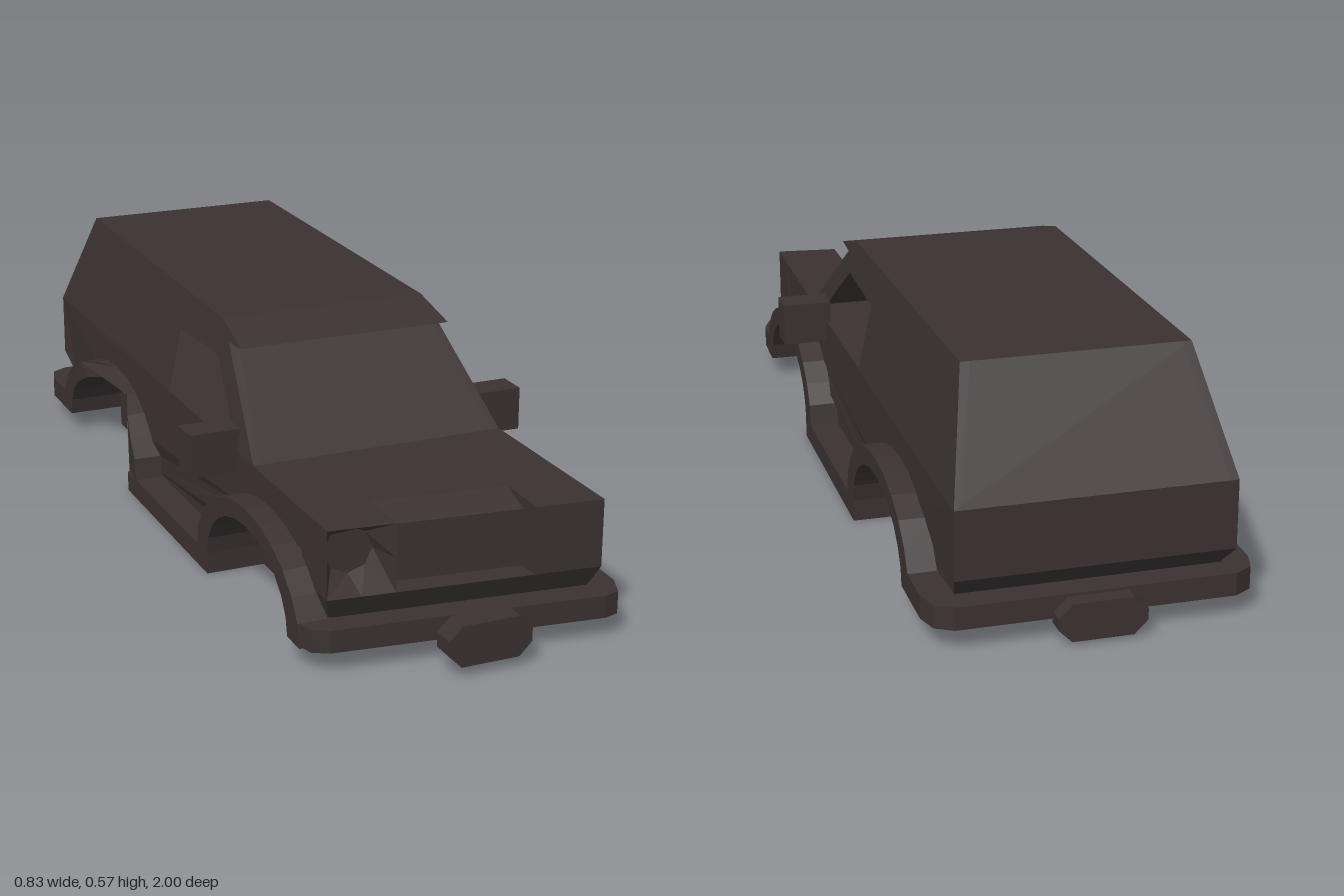
import * as THREE from 'three';

const paint = new THREE.MeshStandardMaterial({ color: 0x3a3132 });
paint.name = 'dark paint';

// Move every vertex by a rule, then refresh the flat normals.
function warp(geo, rule) {
  const p = geo.attributes.position;
  const v = new THREE.Vector3();
  for (let i = 0; i < p.count; i++) {
    v.fromBufferAttribute(p, i);
    rule(v);
    p.setXYZ(i, v.x, v.y, v.z);
  }
  geo.computeVertexNormals();
  return geo;
}

// Extrude a [z, y] outline from x0 to x1.
function extrudeX(outline, x0, x1, hole) {
  const toV = ([z, y]) => new THREE.Vector2(-z, y);
  const shape = new THREE.Shape(outline.map(toV));
  if (hole) shape.holes.push(new THREE.Path(hole.map(toV)));
  const geo = new THREE.ExtrudeGeometry(shape, { depth: x1 - x0, bevelEnabled: false });
  return geo.translate(0, 0, x0).rotateY(Math.PI / 2);
}

// Half ellipse over a wheel, listed from front to back.
function arch(cz, rx, ry, steps = 12) {
  return Array.from({ length: steps + 1 }, (_, i) => {
    const a = (Math.PI * i) / steps;
    return [cz + rx * Math.cos(a), 0.05 + ry * Math.sin(a)];
  });
}

// The nose is slightly skewed across its width.
const skewNose = (v) => { if (v.z > 0.7) v.z += (v.x - 0.305) * 0.115; };
// The cabin leans inward towards the roof.
const halfWidth = (y) => 0.305 - (y - 0.31) * 0.214;

const FRONT = 0.535, REAR = -0.495;

export function createModel() {
  const model = new THREE.Group();
  model.name = 'offRoadCar';
  const add = (name, geo) => {
    const m = new THREE.Mesh(geo, paint);
    m.name = name;
    model.add(m);
    return m;
  };
  const box = (name, x0, x1, y0, y1, z0, z1) => add(name,
    new THREE.BoxGeometry(x1 - x0, y1 - y0, z1 - z0)
      .translate((x0 + x1) / 2, (y0 + y1) / 2, (z0 + z1) / 2));

  // Lower body: solid core and side slabs with wheel wells
  const upper = [[0.89, 0.1], [0.92, 0.155], [0.79, 0.155], [0.79, 0.31],
    [-0.955, 0.31], [-0.955, 0.155], [-0.9, 0.1], [-0.9, 0.05]];
  add('bodyCore', warp(extrudeX([[0.89, 0.05], ...upper], -0.22, 0.22), skewNose));
  const slab = [[0.89, 0.05], ...upper,
    ...arch(REAR, 0.235, 0.16).reverse(), ...arch(FRONT, 0.235, 0.16).reverse()];
  for (const s of [1, -1]) {
    const geo = s > 0 ? extrudeX(slab, 0.22, 0.305) : extrudeX(slab, -0.305, -0.22);
    add(s > 0 ? 'leftBodySide' : 'rightBodySide', warp(geo, (v) => {
      if (v.y < 0.12 && Math.abs(v.x) > 0.3) v.x = 0.29 * s;
      skewNose(v);
    }));
  }

  // Chassis and sills
  box('chassis', -0.22, 0.22, 0, 0.06, -0.73, 0.77);
  box('sills', -0.36, 0.36, 0, 0.05, -0.26, 0.3);

  // Wheel arch flares; the right rear one sinks into the body at its top
  for (const [end, cz] of [['Front', FRONT], ['Rear', REAR]]) {
    const band = [...arch(cz, 0.3, 0.2), ...arch(cz, 0.235, 0.16).reverse()];
    add('left' + end + 'Flare', extrudeX(band, 0.28, 0.36));
    add('right' + end + 'Flare', warp(extrudeX(band, -0.36, -0.28), (v) => {
      if (cz !== REAR || v.x > -0.35) return;
      const t = Math.max(0, 1 - Math.abs(v.z + 0.45) / 0.23);
      v.x += 0.055 * t * t * (3 - 2 * t);
    }));
  }

  // Bumpers with cut corners, outlined in plan as [x, z]
  const bumper = (name, plan) => {
    const shape = new THREE.Shape(plan.map(([x, z]) => new THREE.Vector2(x, -z)));
    add(name, new THREE.ExtrudeGeometry(shape, { depth: 0.052, bevelEnabled: false })
      .rotateX(-Math.PI / 2).translate(0, 0.05, 0));
  };
  bumper('frontBumper', [[-0.36, 0.77], [0.36, 0.77], [0.357, 0.89], [0.335, 0.945],
    [0.3, 0.955], [-0.31, 0.88], [-0.345, 0.86], [-0.36, 0.8]]);
  bumper('rearBumper', [[-0.36, -0.73], [0.36, -0.73], [0.36, -0.89], [0.345, -0.94],
    [0.305, -0.963], [-0.305, -0.963], [-0.345, -0.94], [-0.36, -0.89]]);

  // Eight-sided blocks at both ends
  const endBlock = (name, y0, y1, z0, z1) => {
    const w = 0.097, c = 0.03;
    const pts = [[w, y0 + c], [w, y1 - c], [w - c, y1], [c - w, y1],
      [-w, y1 - c], [-w, y0 + c], [c - w, y0], [w - c, y0]];
    const shape = new THREE.Shape(pts.map(([x, y]) => new THREE.Vector2(x, y)));
    add(name, new THREE.ExtrudeGeometry(shape, { depth: z1 - z0, bevelEnabled: false })
      .translate(0, 0, z0));
  };
  endBlock('frontWinch', 0.025, 0.118, 0.945, 1);
  endBlock('rearHitch', 0.01, 0.095, -1, -0.958);

  // Nose: sunk grille with a sloped lip, a flat corner and an open lamp socket
  add('grille', warp(extrudeX([[0.79, 0.155], [0.865, 0.155], [0.865, 0.285], [0.79, 0.31]],
    -0.155, 0.152), skewNose));
  add('leftLampPanel', warp(extrudeX([[0.79, 0.155], [0.92, 0.155], [0.92, 0.31], [0.79, 0.31]],
    0.152, 0.305), skewNose));
  add('rightLampSocket', warp(lampSocket(), skewNose));

  // Cabin sides with window openings
  const side = [[0.45, 0.31], [0.2, 0.515], [0.14, 0.555], [-0.8, 0.567], [-0.955, 0.31]];
  const opening = [[0.35, 0.312], [0.15, 0.475], [-0.09, 0.465], [-0.09, 0.312]];
  for (const s of [1, -1]) {
    const geo = s > 0 ? extrudeX(side, -0.02, 0, opening) : extrudeX(side, 0, 0.02, opening);
    add(s > 0 ? 'leftCabinSide' : 'rightCabinSide',
      warp(geo, (v) => { v.x += s * halfWidth(v.y); }));
  }

  // Windscreen, visor, roof and tailgate as one shell
  const shell = [[0.45, 0.31], [0.2, 0.515], [0.27, 0.52], [0.14, 0.555], [-0.8, 0.567],
    [-0.955, 0.31], [-0.925, 0.31], [-0.785, 0.545], [0.12, 0.535], [0.17, 0.51], [0.42, 0.31]];
  add('roofShell', warp(extrudeX(shell, -1, 1), (v) => { v.x *= halfWidth(v.y); }));

  // Door mirrors
  box('leftMirror', 0.295, 0.413, 0.26, 0.362, 0.275, 0.35);
  box('rightMirror', -0.415, -0.295, 0.26, 0.362, 0.275, 0.35);

  return model;
}

// Square tube that funnels back to an eight-sided lamp
function lampSocket() {
  const ring = (z, round) => Array.from({ length: 8 }, (_, i) => {
    const c = Math.cos((i * Math.PI) / 4), s = Math.sin((i * Math.PI) / 4);
    const m = Math.max(Math.abs(c), Math.abs(s));
    return round ? [-0.23 + c * 0.053, 0.233 + s * 0.053, z]
      : [-0.23 + (c / m) * 0.075, 0.2325 + (s / m) * 0.0775, z];
  });
  const rings = [ring(0.79), ring(0.92), ring(0.85, true)];
  const centre = [-0.23, 0.233, 0.85];
  const pos = [];
  for (let j = 0; j < 8; j++) {
    const k = (j + 1) % 8;
    for (let r = 0; r < 2; r++) {
      const [a, b] = [rings[r], rings[r + 1]];
      pos.push(...a[j], ...a[k], ...b[k], ...a[j], ...b[k], ...b[j]);
    }
    pos.push(...rings[2][j], ...rings[2][k], ...centre);
  }
  const geo = new THREE.BufferGeometry();
  geo.setAttribute('position', new THREE.Float32BufferAttribute(pos, 3));
  return geo;
}
